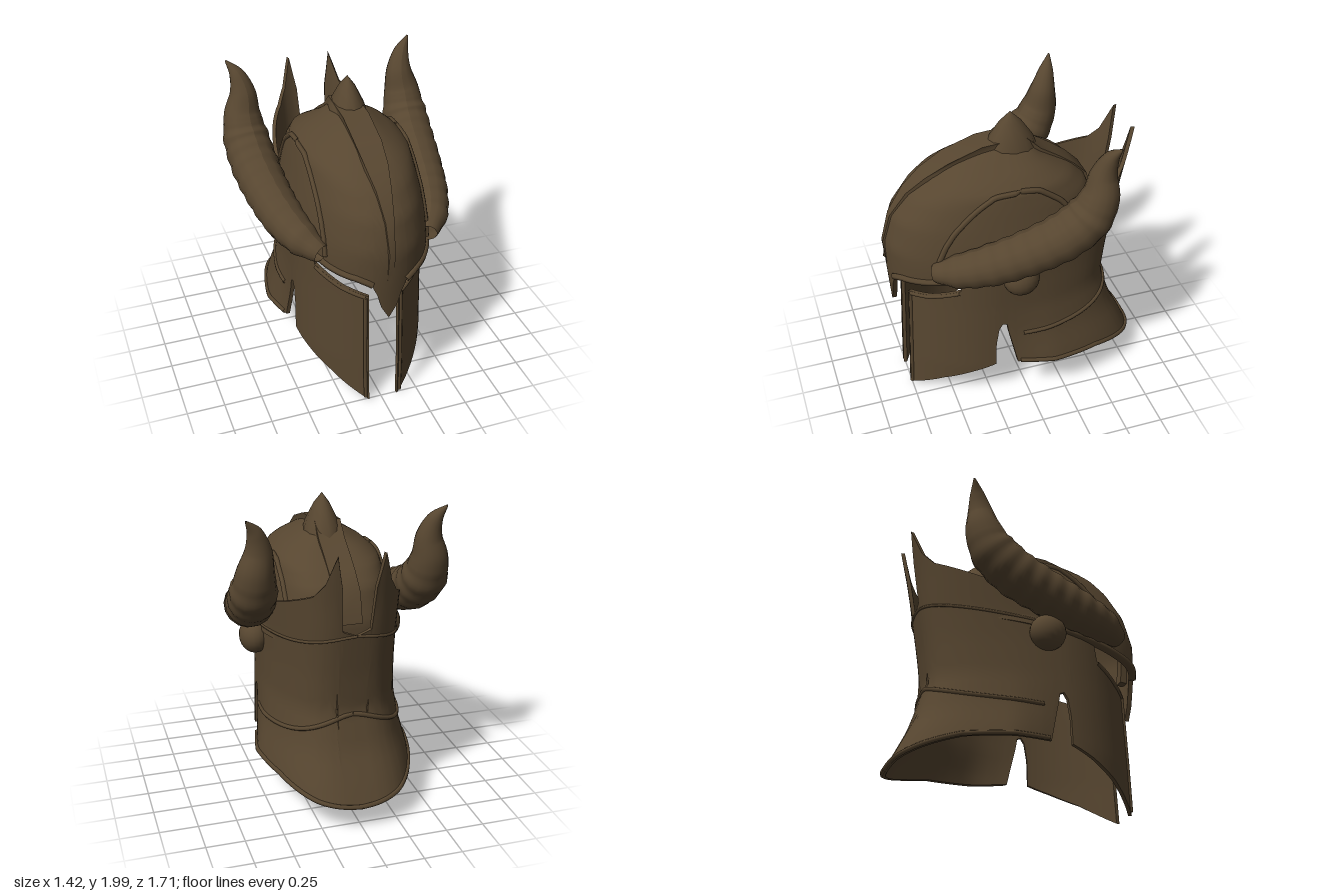
import * as THREE from 'three';
import { toCreasedNormals } from 'three/addons/utils/BufferGeometryUtils.js';

// Piecewise-linear lookup in a list of [key, value] points
function lookup(points, k) {
  if (k <= points[0][0]) return points[0][1];
  for (let i = 1; i < points.length; i++) {
    const [k0, v0] = points[i - 1], [k1, v1] = points[i];
    if (k <= k1) return v0 + (v1 - v0) * (k - k0) / (k1 - k0);
  }
  return points[points.length - 1][1];
}

// Plan outlines by height (front z, back z, half width, rear flare) and edge heights by angle;
// round and power set how pointed the front is and how boxy front and rear are
const dome = {
  mid: 0.05, round: 0.5, frontPower: 0.55, rearPower: 0.6,
  front: [[0.7, 0.82], [1, 0.84], [1.2, 0.845], [1.4, 0.79], [1.55, 0.68], [1.65, 0.55], [1.73, 0.39], [1.79, 0.22], [1.82, 0.1]],
  back: [[0.7, -0.54], [1.3, -0.54], [1.5, -0.48], [1.6, -0.38], [1.66, -0.28], [1.72, -0.18], [1.82, -0.08]],
  width: [[0.7, 0.435], [1.1, 0.435], [1.3, 0.41], [1.5, 0.37], [1.61, 0.345], [1.68, 0.27], [1.76, 0.14], [1.82, 0.02]],
  flare: [[0, 0]],
  bottom: [[0, 0.71], [0.02, 0.8], [0.046, 0.9], [0.085, 0.97], [0.22, 1], [0.6, 1.02], [1.57, 1.1], [Math.PI, 1.2]],
  top: [[0, 1.82]],
};
const body = {
  mid: 0.15, round: 0.35, frontPower: 0.8, rearPower: 0.65,
  front: [[0, 0.81], [0.8, 0.775], [1.2, 0.76]],
  back: [[0.17, -0.85], [0.3, -0.79], [0.5, -0.69], [0.75, -0.62], [1, -0.65], [1.3, -0.7], [1.5, -0.73], [1.82, -0.8]],
  width: [[0, 0.425], [0.3, 0.44], [0.8, 0.43], [1.2, 0.43], [1.5, 0.445]],
  flare: [[0.2, 0.11], [0.35, 0.085], [0.55, 0.035], [0.75, 0.01], [1, 0]],
  bottom: [[0.16, 0.01], [0.394, 0.08], [0.69, 0.17], [1.087, 0.26], [1.4, 0.32], [1.41, 0.5], [1.45, 0.62], [1.5, 0.66],
    [1.56, 0.65], [1.6, 0.5], [1.64, 0.32], [2.3, 0.29], [2.8, 0.21], [Math.PI, 0.17]],
  top: [[0.16, 0.83], [0.5, 0.87], [0.93, 0.95], [0.97, 1.06], [1.5, 1.15], [1.7, 1.2], [2, 1.38],
    [2.375, 1.47], [2.68, 1.54], [2.83, 1.63], [2.956, 1.82], [3.03, 1.6], [3.05, 1.32], [Math.PI, 1.28]],
};
const CENTER = 0.012;

// Surface point at angle a (0 front, PI back, past PI on the right side)
function surface(s, a, y, inset = 0) {
  const side = a > Math.PI ? -1 : 1;
  const h = side < 0 ? 2 * Math.PI - a : a;
  const isFront = h < Math.PI / 2;
  const cz = isFront ? s.round * Math.cos(h) + (1 - s.round) * (1 - 2 * h / Math.PI) : Math.cos(h);
  const reach = isFront ? lookup(s.front, y) - s.mid : s.mid - lookup(s.back, y);
  const w = lookup(s.width, y) + lookup(s.flare, y) * Math.min(1, Math.max(0, -cz * 3));
  const x = Math.max(0.002, w - inset) * Math.pow(Math.abs(Math.sin(h)), isFront ? s.frontPower : s.rearPower);
  return new THREE.Vector3(CENTER + side * x, y, s.mid + Math.max(0.002, reach - inset) * cz);
}

// Thick wall between the bottom and top edge curves
function shellGeometry(s, start, thickness, rows, ease) {
  const half = [...s.bottom, ...s.top].map((p) => p[0]);
  for (let i = 0; i <= 40; i++) half.push(start + (Math.PI - start) * i / 40);
  const keys = [...new Set(half)].sort((p, q) => p - q);
  const angles = [...keys, ...keys.slice(0, -1).reverse().map((k) => 2 * Math.PI - k)];
  const columns = angles.map((a) => [a, thickness]);
  columns.unshift([angles[0], 0]);
  columns.push([angles[angles.length - 1], 0]);
  const pos = [], index = [], n = 2 * rows + 3;
  for (const [a, th] of columns) {
    const h = Math.min(a, 2 * Math.PI - a);
    const lo = lookup(s.bottom, h), hi = lookup(s.top, h);
    for (let j = 0; j < n; j++) {
      const inner = j > rows && j < n - 1;
      const t = j === n - 1 ? 0 : (inner ? 2 * rows + 1 - j : j) / rows;
      pos.push(...surface(s, a, lo + (hi - lo) * ease(t), inner ? th : 0).toArray());
    }
  }
  for (let i = 0; i < columns.length - 1; i++) {
    for (let j = 0; j < n - 1; j++) {
      const p = i * n + j, q = p + n;
      index.push(p, q, p + 1, q, q + 1, p + 1);
    }
  }
  const g = new THREE.BufferGeometry();
  g.setAttribute('position', new THREE.Float32BufferAttribute(pos, 3));
  g.setIndex(index);
  return toCreasedNormals(g, 0.7);
}

export function createModel() {
  const group = new THREE.Group();
  const bronze = new THREE.MeshStandardMaterial({ color: 0x574630, side: THREE.DoubleSide });
  bronze.name = 'dark bronze';

  const add = (name, geometry) => {
    const mesh = new THREE.Mesh(geometry, bronze);
    mesh.name = name;
    group.add(mesh);
    return mesh;
  };
  const trim = (name, points, radius) =>
    add(name, new THREE.TubeGeometry(new THREE.CatmullRomCurve3(points), 60, radius, 6));
  const sweep = (s, a0, a1, heightAt, n = 30) => Array.from({ length: n + 1 }, (_, i) => {
    const a = a0 + (a1 - a0) * i / n;
    return surface(s, a, heightAt(Math.min(a, 2 * Math.PI - a)));
  });

  // Skull dome with nose guard, and wall with cheeks, neck guard and rear spikes
  add('skullDome', shellGeometry(dome, 0, 0.03, 30, (t) => Math.sin(t * Math.PI / 2)));
  add('cheeksAndNeckGuard', shellGeometry(body, 0.16, 0.025, 20, (t) => t));

  // Central crest following the dome profile, narrowing to the brow
  const outer = [[0.835, 0.98], [0.855, 1.2], [0.8, 1.4], [0.69, 1.56], [0.57, 1.66], [0.42, 1.745], [0.2, 1.82],
    [-0.08, 1.84], [-0.18, 1.74], [-0.29, 1.67], [-0.4, 1.59], [-0.5, 1.49], [-0.55, 1.3]];
  const inner = outer.map(([z, y]) => [0.05 + (z - 0.05) * 0.9, 1 + (y - 1) * 0.92]).reverse();
  const crest = new THREE.ExtrudeGeometry(
    new THREE.Shape([...outer, ...inner].map(([z, y]) => new THREE.Vector2(z, y))),
    { depth: 0.17, bevelEnabled: false });
  crest.rotateY(-Math.PI / 2).translate(0.085, 0, 0);
  const cp = crest.attributes.position;
  for (let i = 0; i < cp.count; i++) {
    cp.setX(i, CENTER + cp.getX(i) * lookup([[0.5, 1], [0.86, 0.2]], cp.getZ(i)));
  }
  add('centralCrest', toCreasedNormals(crest, 0.6));

  // Pointed finial on the crown
  const finial = new THREE.LatheGeometry([[0.2, 1.7], [0.16, 1.81], [0.075, 1.93], [0.001, 2]]
    .map(([r, y]) => new THREE.Vector2(r, y)), 12);
  add('crownPoint', finial.scale(0.68, 1, 0.95).translate(0.025, 0, 0));

  for (const side of [1, -1]) {
    const label = side > 0 ? 'left' : 'right';
    const turn = (a) => (side > 0 ? a : 2 * Math.PI - a);

    // Raised rib running front to back over the dome
    const rib = [];
    for (let i = 0; i <= 32; i++) {
      const isFront = i < 16, low = isFront ? 1.1 : 1.3;
      const y = low + (1.63 - low) * Math.sin(i / 32 * Math.PI);
      const power = isFront ? dome.frontPower : dome.rearPower;
      const a = Math.asin(Math.min(1, Math.pow(0.335 / lookup(dome.width, y), 1 / power)));
      rib.push(surface(dome, turn(isFront ? a : Math.PI - a), y));
    }
    trim(label + 'DomeRib', rib, 0.018);

    // Brow edge, cheek frame and neck seams
    trim(label + 'BrowTrim', sweep(dome, turn(0.08), turn(1.6), (h) => lookup(dome.bottom, h) + 0.02), 0.022);
    trim(label + 'CheekFrame', [0.03, 0.3, 0.6, 0.82].map((y) => surface(body, turn(0.2), y)), 0.014);
    trim(label + 'CheekTopTrim', sweep(body, turn(0.2), turn(0.92), (h) => lookup(body.top, h) - 0.015), 0.014);
    trim(label + 'NeckSeam', sweep(body, turn(1.7), turn(Math.PI), (h) => 0.56 + 0.17 * Math.pow((h - 1.7) / 1.44, 2)), 0.015);
    trim(label + 'BackSeam', sweep(body, turn(1.7), turn(Math.PI), (h) => 1.14 + 0.14 * (h - 1.7) / 1.44), 0.01);
    trim(label + 'NeckRim', sweep(body, turn(1.66), turn(Math.PI), (h) => lookup(body.bottom, h) + 0.012), 0.016);

    // Boss over the ear
    const boss = add(label + 'EarBoss', new THREE.SphereGeometry(0.12, 20, 12));
    boss.scale.x = 0.85;
    boss.position.set(CENTER + side * 0.46, 1.05, 0.07);

    // Ridged horn: a tube with its rings scaled along the path
    const path = new THREE.CatmullRomCurve3([
      [0.35, 1.13, 0.6], [0.43, 1.17, 0.46], [0.49, 1.22, 0.25], [0.53, 1.3, 0], [0.55, 1.39, -0.2],
      [0.56, 1.51, -0.34], [0.56, 1.64, -0.4], [0.545, 1.78, -0.42], [0.57, 1.9, -0.45], [0.63, 1.99, -0.49],
    ].map(([x, y, z]) => new THREE.Vector3(side * x, y, z)));
    const radii = [[0, 0.06], [0.1, 0.11], [0.24, 0.135], [0.41, 0.148], [0.54, 0.155], [0.66, 0.15],
      [0.76, 0.12], [0.85, 0.085], [0.93, 0.05], [1, 0.005]];
    const steps = 90, sides = 16;
    const horn = new THREE.TubeGeometry(path, steps, 1, sides);
    const p = horn.attributes.position, v = new THREE.Vector3();
    for (let i = 0; i <= steps; i++) {
      const t = i / steps, c = path.getPointAt(t);
      const r = lookup(radii, t) * (1 + (t < 0.72 ? 0.025 * Math.sin(t * 87) : 0));
      for (let j = 0; j <= sides; j++) {
        const k = i * (sides + 1) + j;
        v.fromBufferAttribute(p, k).sub(c).multiplyScalar(r).add(c);
        p.setXYZ(k, v.x, v.y, v.z);
      }
    }
    horn.computeVertexNormals();
    add(label + 'Horn', horn);
  }
  return group;
}
